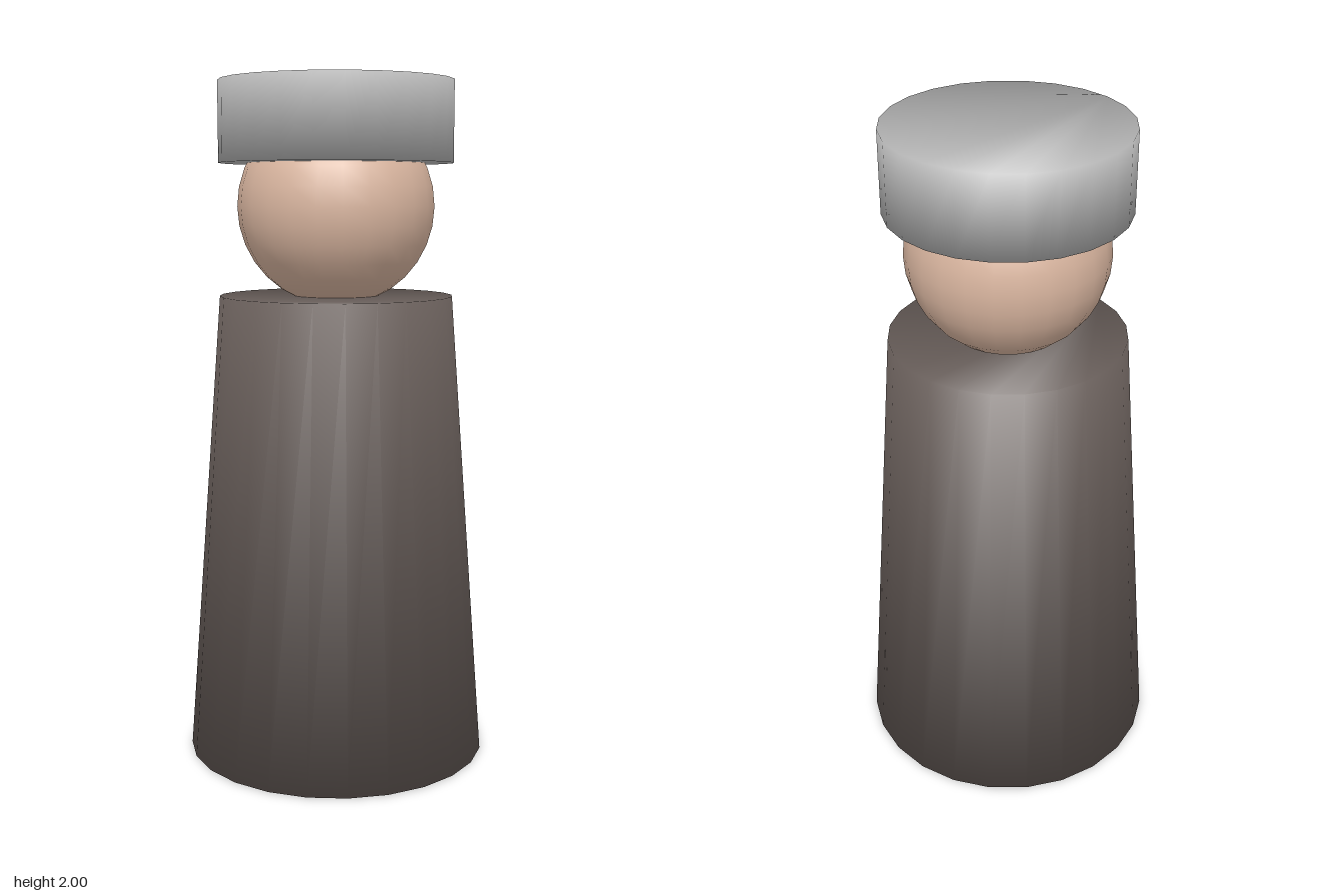
import * as THREE from 'three';

const SIDES = 24;

// Closed drum whose walls and flat ends share soft rim normals
function softDrum(topRadius, bottomRadius, y0, y1) {
  const g = new THREE.CylinderGeometry(topRadius, bottomRadius, y1 - y0, SIDES, 1, true);
  g.deleteAttribute('uv');
  g.clearGroups();
  const row = SIDES + 1;
  const index = Array.from(g.index.array);
  for (let i = 1; i < SIDES - 1; i++) {
    index.push(0, i, i + 1); // top end
    index.push(row, row + i + 1, row + i); // bottom end
  }
  g.setIndex(index);
  const n = g.attributes.normal;
  for (let i = 0; i < n.count; i++) n.setY(i, n.getY(i) + (i < row ? 1 : -1));
  g.normalizeNormals();
  g.translate(0, (y0 + y1) / 2, 0);
  return g;
}

function material(name, color) {
  const m = new THREE.MeshStandardMaterial({ color });
  m.name = name;
  return m;
}

export function createModel() {
  const group = new THREE.Group();
  group.name = 'pegFigure';
  const add = (name, geometry, mat) => {
    const mesh = new THREE.Mesh(geometry, mat);
    mesh.name = name;
    group.add(mesh);
    return mesh;
  };

  // Tapered robe standing on the ground
  add('body', softDrum(0.344, 0.447, 0, 1.38), material('darkBrown', 0x665c58));

  // Round head sunk slightly into the robe and the cap
  const head = add('head', new THREE.SphereGeometry(0.29, SIDES, 16), material('skin', 0xdbb7a1));
  head.position.y = 1.64;

  // Flat drum-shaped cap
  add('cap', softDrum(0.344, 0.344, 1.765, 2), material('grey', 0xb6b6b6));

  return group;
}
